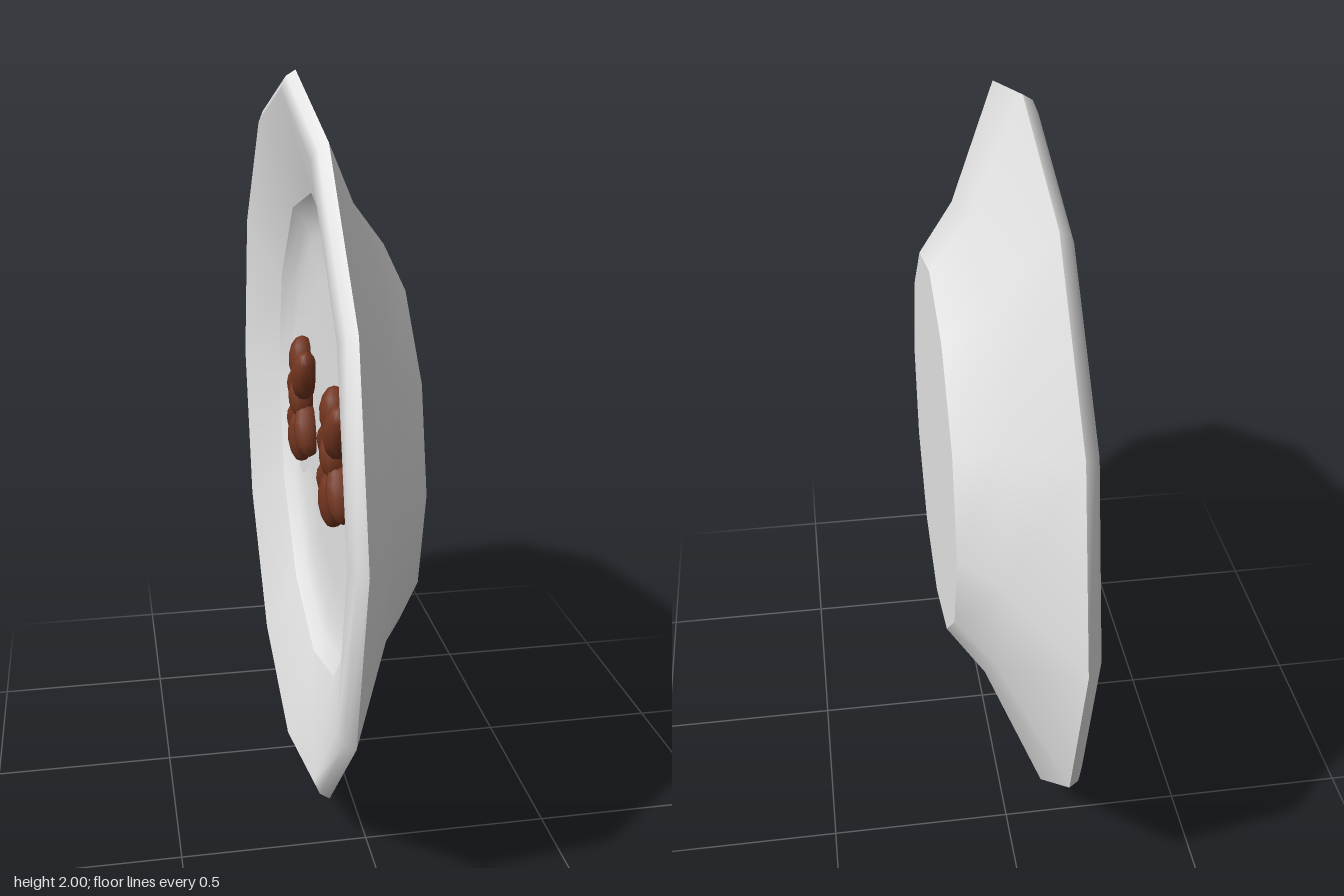
import * as THREE from 'three';

function flatColour(name, color) {
  const material = new THREE.MeshStandardMaterial({ color });
  material.name = name;
  return material;
}
const china = flatColour('china', 0xe6e6e6);
const brown = flatColour('brown', 0x743620);

const SIDES = 12;

// Surface of revolution about the x axis; profile points are [radius, x]
function turned(name, profile) {
  const geo = new THREE.LatheGeometry(profile.map(([r, x]) => new THREE.Vector2(r, x)), SIDES);
  geo.rotateZ(-Math.PI / 2);
  const mesh = new THREE.Mesh(geo, china);
  mesh.name = name;
  return mesh;
}

// Cluster of rounded petals: [x, y, half width, half height, tilt]
function createCluster() {
  const petals = [
    [-0.02, 0.125, 0.05, 0.075, 0.1],
    [0.07, 0.1, 0.043, 0.085, -0.35],
    [-0.06, 0.045, 0.042, 0.085, -0.7],
    [0.02, 0.025, 0.048, 0.07, 0.3],
    [-0.072, -0.07, 0.043, 0.075, -0.5],
    [0.0, -0.105, 0.042, 0.085, 0],
    [0.07, -0.065, 0.043, 0.085, 0.45],
  ];
  const cluster = new THREE.Group();
  petals.forEach(([x, y, w, h, tilt], i) => {
    const petal = new THREE.Mesh(new THREE.SphereGeometry(1, 10, 7), brown);
    petal.name = 'petal';
    petal.scale.set(w, h, 0.042);
    petal.rotation.z = tilt;
    petal.position.set(x, y, 0.04 + 0.008 * (i % 2));
    cluster.add(petal);
  });
  return cluster;
}

export function createModel() {
  const plate = new THREE.Group();
  plate.name = 'plate';

  // Sloping back of the plate
  plate.add(turned('plateBack', [[1, -0.1], [0.67, 0.04], [0.535, 0.14]]));

  // Dish: shallow floor and curved wall
  plate.add(turned('plateDish', [
    [0, 0], [0.45, 0], [0.58, -0.01], [0.64, -0.03], [0.68, -0.06],
  ]));

  // Wide rim and rounded lip
  plate.add(turned('plateRim', [[0.68, -0.06], [0.95, -0.14], [0.985, -0.125], [1, -0.1]]));

  // Flat foot
  const foot = new THREE.Mesh(new THREE.CircleGeometry(0.535, SIDES), china);
  foot.name = 'plateFoot';
  foot.rotation.y = Math.PI / 2;
  foot.position.x = 0.14;
  plate.add(foot);

  // Contents face -x: local x runs along z, local z along -x
  const contents = new THREE.Group();
  contents.name = 'contents';
  contents.rotation.y = -Math.PI / 2;
  plate.add(contents);

  // Flat wavy spread, mirrored about the middle
  const half = [
    [0, 0.07], [0.08, 0.19], [0.17, 0.26], [0.27, 0.285], [0.36, 0.265], [0.45, 0.21], [0.52, 0.12], [0.555, 0],
    [0.56, -0.15], [0.53, -0.24], [0.48, -0.28], [0.42, -0.27], [0.28, -0.2], [0.2, -0.21], [0.05, -0.27],
  ].map(([x, y]) => new THREE.Vector2(x, y));
  const mirrored = half.slice(1).reverse().map((p) => new THREE.Vector2(-p.x, p.y));
  const outline = new THREE.Shape([...half, new THREE.Vector2(0, -0.24), ...mirrored]);
  const spread = new THREE.Mesh(new THREE.ShapeGeometry(outline), china);
  spread.name = 'spread';
  spread.position.z = 0.02;
  contents.add(spread);

  // Two petal clusters side by side
  for (const side of [-1, 1]) {
    const cluster = createCluster();
    cluster.name = side > 0 ? 'frontCluster' : 'backCluster';
    cluster.position.set(side * 0.275 - 0.01, 0.01, 0);
    contents.add(cluster);
  }

  // Stand the plate on its edge
  plate.position.y = 1;
  const model = new THREE.Group();
  model.name = 'model';
  model.add(plate);
  return model;
}
